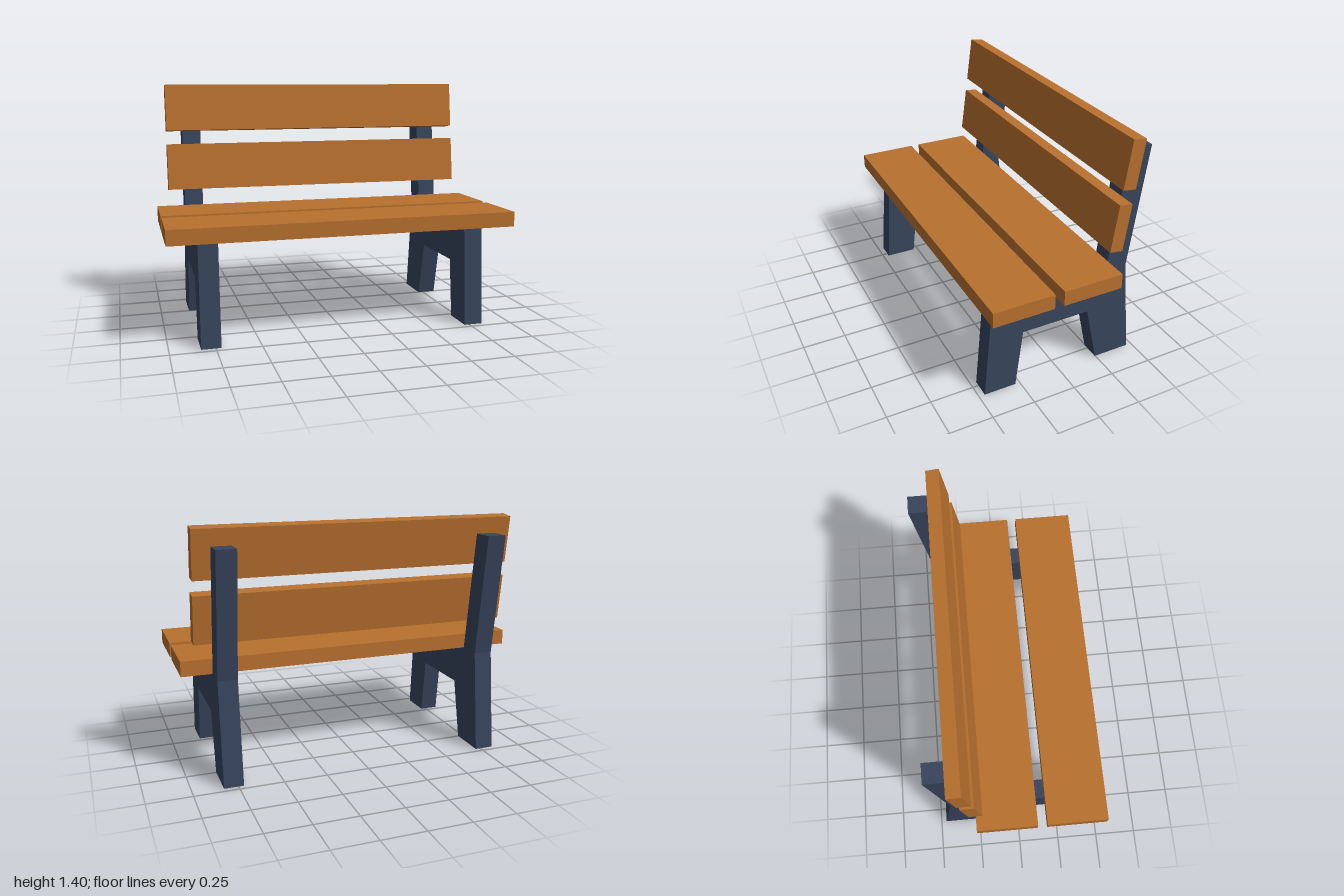
import * as THREE from 'three';

export function createModel() {
  const bench = new THREE.Group();
  bench.name = 'bench';
  const wood = new THREE.MeshStandardMaterial({ color: 0xb8702e });
  wood.name = 'orange wood';
  const paint = new THREE.MeshStandardMaterial({ color: 0x38445c });
  paint.name = 'navy paint';

  // Side frame: legs, seat rail and leaning back post as one outline (z, y)
  const outline = [
    [0.465, 0], [0.42, 0.588], [-0.27, 0.588], [-0.365, 1.3], [-0.495, 1.3], [-0.402, 0.588],
    [-0.468, 0], [-0.247, 0], [-0.17, 0.347], [0.235, 0.347], [0.277, 0],
  ].map(([z, y]) => new THREE.Vector2(z, y));
  const thickness = 0.11;
  const frameGeometry = new THREE.ExtrudeGeometry(new THREE.Shape(outline), {
    depth: thickness, bevelEnabled: false,
  });
  frameGeometry.translate(0, 0, -thickness / 2);
  frameGeometry.rotateY(-Math.PI / 2);
  for (const [name, x] of [['leftFrame', 0.775], ['rightFrame', -0.775]]) {
    const frame = new THREE.Mesh(frameGeometry, paint);
    frame.name = name;
    frame.position.x = x;
    bench.add(frame);
  }

  function addPlank(name, size, y, z, tilt = 0) {
    const plank = new THREE.Mesh(new THREE.BoxGeometry(...size), wood);
    plank.name = name;
    plank.position.set(0, y, z);
    plank.rotation.x = tilt;
    bench.add(plank);
  }

  // Seat planks
  addPlank('frontSeatPlank', [2, 0.087, 0.351], 0.63, 0.3245);
  addPlank('rearSeatPlank', [2, 0.087, 0.351], 0.63, -0.081);

  // Back slats, leaning with the posts
  addPlank('lowerBackSlat', [1.86, 0.275, 0.078], 0.908, -0.273, -0.133);
  addPlank('upperBackSlat', [1.86, 0.275, 0.078], 1.263, -0.3205, -0.133);

  return bench;
}
